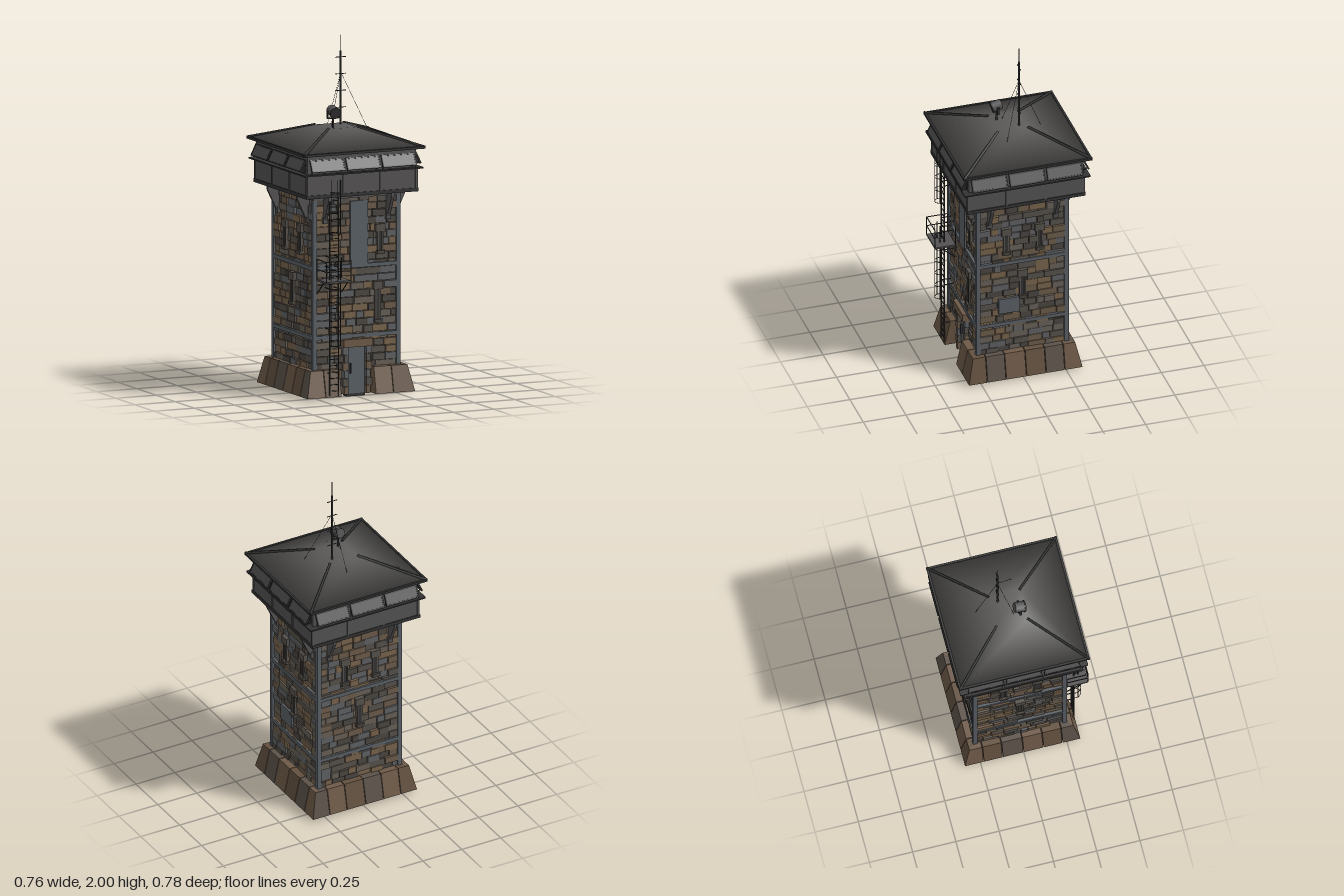
import * as THREE from 'three';
import { mergeGeometries, mergeVertices } from 'three/addons/utils/BufferGeometryUtils.js';

const mat = (color) => new THREE.MeshStandardMaterial({ color, side: THREE.DoubleSide });
const steel = mat(0x545252), dark = mat(0x333333), plate = mat(0x5a6066), roofMat = mat(0x5b5a58);
const stones = [0x6b5b4a, 0x55504a, 0x5f6062, 0x77624b, 0x4a4540, 0x665f56].map(mat);
const brown = [0x6e5a48, 0x63513f, 0x5c5249].map(mat);

function add(parent, name, geo, material) {
  const m = new THREE.Mesh(geo, material);
  m.name = name;
  parent.add(m);
  return m;
}

// box centred at x, y, z
function box(parent, name, w, h, d, x, y, z, material) {
  const m = add(parent, name, new THREE.BoxGeometry(w, h, d), material);
  m.position.set(x, y, z);
  return m;
}

// round or square bar between two points
function bar(parent, name, a, b, r, material, sides = 6) {
  const p = new THREE.Vector3(...a), q = new THREE.Vector3(...b);
  const m = add(parent, name, new THREE.CylinderGeometry(r, r, p.distanceTo(q), sides), material);
  m.position.copy(p).lerp(q, 0.5);
  m.quaternion.setFromUnitVectors(new THREE.Vector3(0, 1, 0), q.sub(p).normalize());
  return m;
}

function seeded(seed) {
  return () => (seed = (seed * 16807) % 2147483647) / 2147483647;
}

// courses of uneven stones, merged by colour
function stoneWall(side, index) {
  const rand = seeded(91 + index * 577), piles = stones.map(() => []);
  const rows = 24, h = 0.98 / rows, half = 0.252;
  for (let r = 0; r < rows; r++) {
    const y = 0.155 + (r + 0.5) * h;
    for (let x = -half; x < half - 0.001;) {
      let w = 0.04 + rand() * 0.07;
      if (half - x - w < 0.035) w = half - x;
      const depth = 0.014 + rand() * 0.014, pick = Math.floor(rand() * stones.length);
      const inDoor = index === 0 && y < 0.3 && x + w > -0.06 && x < 0.06;
      if (!inDoor) {
        const g = new THREE.BoxGeometry(w - 0.003, h - 0.003, depth);
        piles[pick].push(g.translate(x + w / 2, y, 0.242 + depth / 2));
      }
      x += w;
    }
  }
  piles.forEach((p, i) => p.length && add(side, 'wallStones', mergeGeometries(p), stones[i]));
}

// battered foot stones, mitred at the corners
function footStones(side, index) {
  const runs = index === 0 ? [[-0.333, -0.22, -0.12], [0.09, 0.2, 0.333]]
    : [[-0.333, -0.225, -0.115, 0.005, 0.12, 0.23, 0.333]];
  for (const run of runs) for (let i = 0; i + 1 < run.length; i++) {
    const g = new THREE.BoxGeometry(1, 1, 1), p = g.attributes.position;
    for (let v = 0; v < p.count; v++) {
      const top = p.getY(v) > 0, outer = p.getZ(v) > 0;
      const limit = outer ? (top ? 0.3 : 0.333) : 0.24;
      const x = p.getX(v) > 0 ? run[i + 1] - 0.002 : run[i] + 0.002;
      const end = Math.abs(x) > 0.33;
      p.setXYZ(v, end ? Math.sign(x) * limit : THREE.MathUtils.clamp(x, -limit, limit), top ? 0.165 : 0.015, limit);
    }
    g.computeVertexNormals();
    add(side, 'footStone', g, brown[(i + index) % 3]);
  }
}

// narrow slit with lintel, jambs and sill
function slit(side, x, y0, y1) {
  const mid = (y0 + y1) / 2, h = y1 - y0;
  box(side, 'slitOpening', 0.022, h, 0.01, x, mid, 0.267, dark);
  for (const s of [-1, 1]) box(side, 'slitJamb', 0.009, h, 0.02, x + s * 0.014, mid, 0.266, stones[1]);
  box(side, 'slitLintel', 0.058, 0.045, 0.03, x, y1 + 0.022, 0.266, stones[1]);
  box(side, 'slitSill', 0.048, 0.02, 0.035, x, y0 - 0.01, 0.268, stones[4]);
}

// one face of the tower, outward along +z
function buildSide(index) {
  const side = new THREE.Group();
  side.name = 'towerSide';
  side.rotation.y = index * Math.PI / 2;
  stoneWall(side, index);
  footStones(side, index);
  // backing wall, open behind the door
  if (index) box(side, 'wallCore', 0.484, 0.98, 0.01, 0, 0.645, 0.237, plate);
  else {
    for (const s of [-1, 1]) box(side, 'wallCore', 0.182, 0.98, 0.01, s * 0.151, 0.645, 0.237, plate);
    box(side, 'wallCore', 0.12, 0.83, 0.01, 0, 0.72, 0.237, plate);
  }
  // corner angle and horizontal bands
  for (const s of [-1, 1]) box(side, 'cornerPost', 0.026, 0.99, 0.026, s * 0.259, 0.65, 0.259, plate);
  for (const y of [0.345, 0.74]) box(side, 'wallBand', 0.5, 0.022, 0.02, 0, y, 0.263, plate);
  box(side, 'topBand', 0.54, 0.025, 0.02, 0, 1.14, 0.264, steel);
  // gussets carrying the cabin
  const tri = new THREE.Shape([[0.262, 1.15], [0.335, 1.15], [0.335, 1.13], [0.278, 1.01], [0.262, 1.01]].map((p) => new THREE.Vector2(...p)));
  for (const s of [-1, 1]) {
    const g = new THREE.ExtrudeGeometry(tri, { depth: 0.018, bevelEnabled: false });
    g.rotateY(-Math.PI / 2).translate(s * 0.195 + 0.009, 0, 0);
    add(side, 'gusset', g, steel);
    box(side, 'gussetFoot', 0.03, 0.035, 0.02, s * 0.195, 1.01, 0.268, steel);
  }
  // cabin trim, ledge and awning shutters
  box(side, 'cabinSkirt', 0.692, 0.02, 0.012, 0, 1.16, 0.341, dark);
  box(side, 'cabinLedge', 0.735, 0.008, 0.035, 0, 1.285, 0.352, dark);
  for (const x of [-0.335, -0.115, 0.115, 0.335]) box(side, 'cabinRib', 0.012, 0.11, 0.008, x, 1.222, 0.342, steel);
  for (const x of [-0.22, 0, 0.22]) {
    box(side, 'windowOpening', 0.19, 0.07, 0.006, x, 1.335, 0.336, dark);
    const shutter = new THREE.Group();
    shutter.name = 'shutter';
    shutter.position.set(x, 1.37, 0.34);
    shutter.rotation.x = -0.46;
    side.add(shutter);
    box(shutter, 'shutterPanel', 0.2, 0.074, 0.005, 0, -0.037, 0, steel);
    for (const y of [-0.004, -0.07]) box(shutter, 'shutterRail', 0.206, 0.008, 0.01, 0, y, 0, dark);
    for (const s of [-1, 1]) {
      box(shutter, 'shutterStile', 0.007, 0.074, 0.01, s * 0.1, -0.037, 0, dark);
      bar(side, 'shutterStay', [x + s * 0.09, 1.295, 0.335], [x + s * 0.09, 1.308, 0.37], 0.003, dark);
    }
  }
  // roof edge and hip rib
  box(side, 'fascia', 0.752, 0.014, 0.012, 0, 1.401, 0.371, dark);
  bar(side, 'hipRib', [0.375, 1.404, 0.375], [0.088, 1.497, 0.088], 0.008, dark, 4);
  // slits
  for (const x of index ? [-0.095, 0.1] : [0.145]) slit(side, x, 0.82, 0.925);
  slit(side, index ? 0 : 0.13, index ? 0.52 : 0.43, index ? 0.64 : 0.6);
  return side;
}

function buildDoor(side) {
  box(side, 'door', 0.11, 0.265, 0.015, 0, 0.148, 0.25, plate);
  box(side, 'doorHandle', 0.006, 0.06, 0.015, -0.035, 0.16, 0.262, dark);
  box(side, 'doorLintel', 0.18, 0.045, 0.06, 0, 0.306, 0.265, brown[0]);
  box(side, 'threshold', 0.115, 0.02, 0.045, 0, 0.01, 0.235, dark);
  for (const s of [-1, 1]) for (let i = 0; i < 6; i++) {
    const w = i % 2 ? 0.035 : 0.025;
    box(side, 'doorQuoin', w, 0.043, 0.04, s * (0.055 + w / 2), 0.037 + i * 0.045, 0.26, stones[i % 3]);
  }
  box(side, 'tallPlate', 0.11, 0.38, 0.012, 0.014, 0.92, 0.27, plate);
}

// ladder with cage and a railed landing
function buildLadder(parent) {
  const g = new THREE.Group();
  g.name = 'ladder';
  parent.add(g);
  const cx = -0.168, zl = 0.323;
  for (const s of [-1, 1]) {
    bar(g, 'ladderRail', [cx + s * 0.027, 0.02, zl], [cx + s * 0.027, 1.15, zl], 0.004, dark);
    for (const y of [0.15, 0.4, 0.63, 0.75, 0.81, 1.05]) bar(g, 'ladderBracket', [cx + s * 0.027, y, 0.265], [cx + s * 0.027, y, zl], 0.003, dark);
  }
  for (let y = 0.05; y < 1.14; y += 0.036) bar(g, 'rung', [cx - 0.027, y, zl], [cx + 0.027, y, zl], 0.0025, dark, 5);
  // cage in two lengths
  for (const [y0, y1, n] of [[0.31, 0.79, 6], [0.94, 1.25, 4]]) {
    for (const [dx, dz] of [[-0.027, 0.025], [0, 0.048], [0.027, 0.025]]) bar(g, 'cageBar', [cx + dx, y0, zl + dz], [cx + dx, y1, zl + dz], 0.002, dark, 5);
    for (let i = 0; i < n; i++) {
      const y = y0 + 0.08 * i;
      const arc = new THREE.CatmullRomCurve3([[-0.027, 0], [-0.027, 0.025], [0, 0.048], [0.027, 0.025], [0.027, 0]].map(([x, z]) => new THREE.Vector3(cx + x, y, zl + z)));
      add(g, 'cageHoop', new THREE.TubeGeometry(arc, 10, 0.002, 5), dark);
    }
  }
  // landing
  const x0 = -0.252, x1 = -0.094, z0 = 0.27, z1 = 0.392;
  box(g, 'landing', x1 - x0, 0.01, z1 - z0, (x0 + x1) / 2, 0.677, (z0 + z1) / 2, steel);
  for (const x of [x0 + 0.003, x1 - 0.003]) {
    bar(g, 'railPost', [x, 0.68, z1], [x, 0.795, z1], 0.003, dark);
    bar(g, 'railPost', [x, 0.68, z0], [x, 0.795, z0], 0.003, dark);
    bar(g, 'landingBrace', [x, 0.6, z0], [x, 0.675, z1 - 0.03], 0.003, dark);
    if (x < -0.2) for (const y of [0.738, 0.795]) bar(g, 'sideRail', [x, y, z0], [x, y, z1], 0.003, dark);
  }
  for (const y of [0.738, 0.795]) bar(g, 'frontRail', [x0, y, z1], [x1, y, z1], 0.003, dark);
}

function buildRoofGear(g) {
  // mast with crossbars and guy wires
  const x = 0.052, z = -0.055;
  bar(g, 'mast', [x, 1.48, z], [x, 1.91, z], 0.006, dark, 8);
  bar(g, 'whip', [x, 1.9, z], [x, 2, z], 0.002, dark);
  for (const y of [1.59, 1.685, 1.78, 1.875]) bar(g, 'crossbar', [x - 0.033, y, z], [x + 0.033, y, z], 0.0025, dark);
  for (const foot of [[0.17, 1.472, 0.052], [0.03, 1.467, -0.187], [-0.042, 1.495, 0.015]]) bar(g, 'guyWire', [x, 1.79, z], foot, 0.0012, dark, 4);
  // searchlight on a yoke, tipped down
  const lamp = new THREE.Group();
  lamp.name = 'searchlight';
  lamp.position.set(-0.043, 1.587, 0.047);
  g.add(lamp);
  bar(lamp, 'lampPost', [0, -0.1, 0], [0, -0.038, 0], 0.006, dark, 8);
  box(lamp, 'yokeBase', 0.074, 0.006, 0.014, 0, -0.037, 0, dark);
  for (const s of [-1, 1]) box(lamp, 'yokeArm', 0.005, 0.045, 0.014, s * 0.035, -0.017, 0, dark);
  const drum = add(lamp, 'lampDrum', new THREE.CylinderGeometry(0.031, 0.029, 0.058, 10).rotateX(Math.PI / 2), steel);
  const rim = add(drum, 'lampRim', new THREE.CylinderGeometry(0.034, 0.034, 0.008, 10).rotateX(Math.PI / 2), dark);
  rim.position.z = 0.028;
  drum.rotation.x = 0.25;
}

export function createModel() {
  const root = new THREE.Group();
  root.name = 'watchtower';
  const tower = new THREE.Group();
  tower.name = 'tower';
  tower.position.z = -0.007;
  root.add(tower);
  const sides = [0, 1, 2, 3].map(buildSide);
  tower.add(...sides);
  buildDoor(sides[0]);
  box(sides[1], 'wallPlate', 0.125, 0.095, 0.014, -0.078, 0.463, 0.27, plate);
  // cabin
  box(tower, 'cabinBase', 0.684, 0.135, 0.684, 0, 1.2175, 0, steel);
  box(tower, 'cabinWall', 0.672, 0.12, 0.672, 0, 1.34, 0, steel);
  // hipped roof with a small flat top, softly shaded
  let roof = new THREE.CylinderGeometry(0.09 * Math.SQRT2, 0.375 * Math.SQRT2, 0.095, 4).rotateY(Math.PI / 4);
  roof.deleteAttribute('normal');
  roof.deleteAttribute('uv');
  roof = mergeVertices(roof);
  roof.computeVertexNormals();
  add(tower, 'roof', roof, roofMat).position.y = 1.4475;
  buildLadder(root);
  buildRoofGear(root);
  return root;
}
